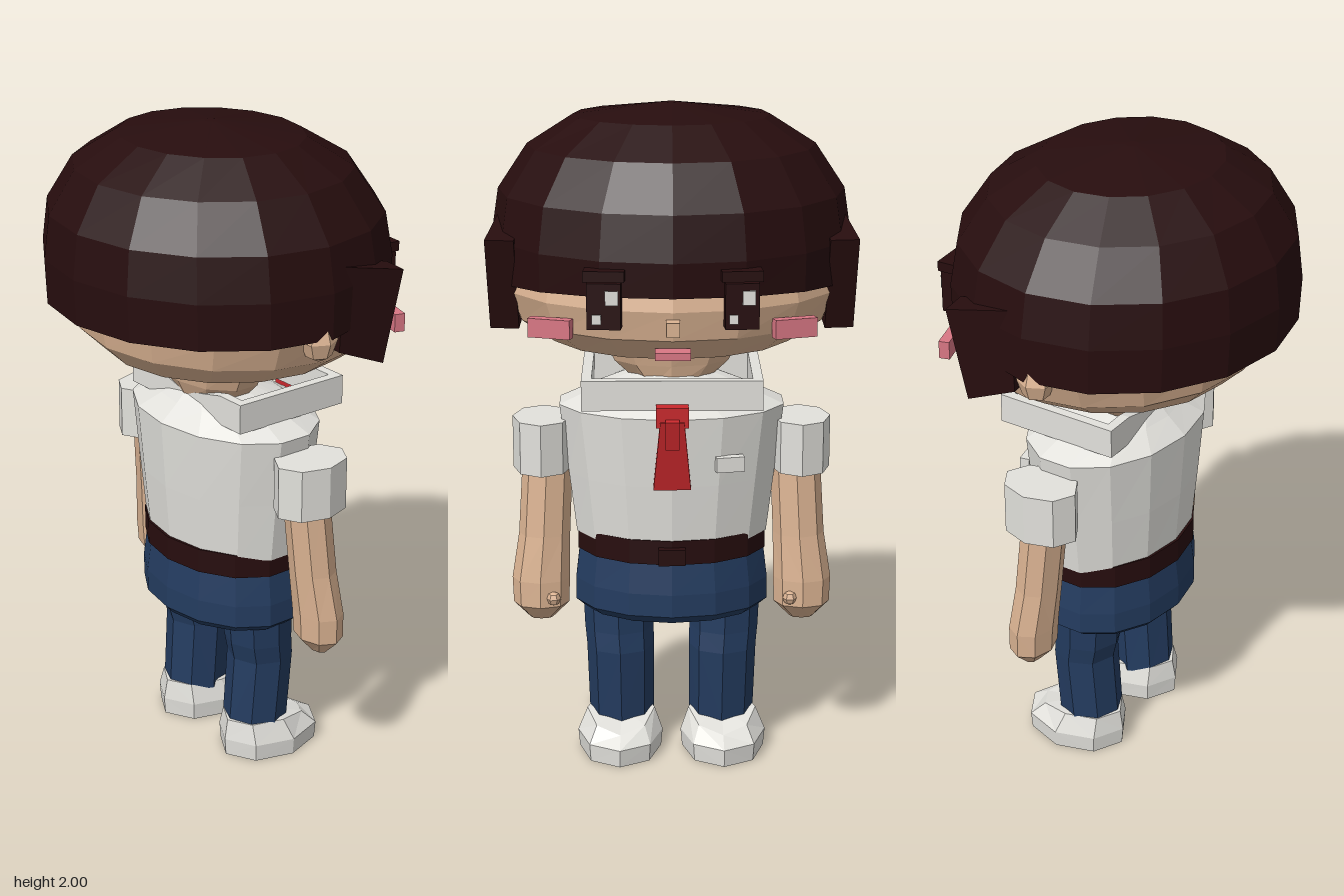
import * as THREE from 'three';

const colour = (name, hex) => {
  const m = new THREE.MeshStandardMaterial({ color: hex });
  m.name = name;
  return m;
};

// Faceted solid from elliptical rings [y, rx, rz, cx, cz], bottom to top, capped.
function loft(rings, n) {
  const pos = [], idx = [];
  for (const [y, rx, rz, cx = 0, cz = 0] of rings)
    for (let i = 0; i < n; i++) {
      const t = (i / n) * Math.PI * 2;
      pos.push(cx + rx * Math.sin(t), y, cz + rz * Math.cos(t));
    }
  const last = rings.length - 1, c = pos.length / 3;
  for (const [y, , , cx = 0, cz = 0] of [rings[0], rings[last]]) pos.push(cx, y, cz);
  for (let i = 0; i < n; i++) {
    const k = (i + 1) % n;
    for (let j = 0; j < last; j++) {
      const a = j * n + i, b = j * n + k;
      idx.push(a, b, b + n, a, b + n, a + n);
    }
    idx.push(c, k, i, c + 1, last * n + i, last * n + k);
  }
  const g = new THREE.BufferGeometry();
  g.setAttribute('position', new THREE.Float32BufferAttribute(pos, 3));
  g.setIndex(idx);
  return g;
}

// Box with optional turn about y and tilt about x.
function box(w, h, d, x, y, z, turn = 0, tilt = 0) {
  return new THREE.BoxGeometry(w, h, d).rotateX(tilt).rotateY(turn).translate(x, y, z);
}

function prism(points, depth) {
  const shape = new THREE.Shape(points.map(([x, y]) => new THREE.Vector2(x, y)));
  return new THREE.ExtrudeGeometry(shape, { depth, bevelEnabled: false });
}

// Unshared corners give every face its own flat normal.
function facet(g) {
  const f = g.index ? g.toNonIndexed() : g.clone();
  f.deleteAttribute('uv');
  f.computeVertexNormals();
  return f;
}

// Copy to the other side of x = 0, keeping faces outward.
function mirror(g) {
  const f = facet(g), p = f.attributes.position;
  for (let i = 0; i < p.count; i += 3) {
    const v = [0, 2, 1].map(k => [-p.getX(i + k), p.getY(i + k), p.getZ(i + k)]);
    v.forEach((q, k) => p.setXYZ(i + k, ...q));
  }
  return f;
}

export function createModel() {
  const skin = colour('skin', 0xdcb493), hairCol = colour('dark brown', 0x270d0e);
  const white = colour('white cloth', 0xe2e1dc), denim = colour('denim', 0x243c60);
  const red = colour('red', 0xc8282c), pink = colour('pink', 0xd97784);

  const model = new THREE.Group();
  model.name = 'figure';
  const add = (name, g, mat) => {
    const m = new THREE.Mesh(facet(g), mat);
    m.name = name;
    model.add(m);
  };
  const pair = (name, g, mat) => {
    add('left' + name, g, mat);
    add('right' + name, mirror(g), mat);
  };

  // Head and neck (the face looks towards -z)
  add('head', loft([
    [1.295, 0.2, 0.2, 0, -0.02], [1.325, 0.37, 0.36, 0, -0.02], [1.395, 0.47, 0.435, 0, -0.024],
    [1.48, 0.505, 0.452, 0, -0.024], [1.6, 0.48, 0.43, 0, -0.02]], 16), skin);
  add('neck', loft([
    [1.16, 0.1, 0.1, 0, 0.02], [1.23, 0.18, 0.125, 0, 0.03], [1.33, 0.23, 0.15, 0, 0.03]], 10), skin);

  // Bowl of hair, its rim a little higher at the face
  const hair = loft([
    [1.485, 0.53, 0.497, 0, 0.013], [1.62, 0.532, 0.502, 0, 0.014], [1.75, 0.512, 0.482, 0, 0.018],
    [1.88, 0.425, 0.4, 0, 0.025], [1.965, 0.29, 0.26, 0, 0.028], [2.0, 0.02, 0.02, 0, 0.03]], 16);
  const hp = hair.attributes.position;
  for (let i = 0; i < 16; i++) hp.setY(i, hp.getY(i) + Math.max(0, -hp.getZ(i)) * 0.075);
  add('hair', hair, hairCol);

  // Side locks and ears
  const lock = prism([[0.04, 1.43], [0.19, 1.37], [0.25, 1.64], [0.05, 1.68]], 0.085)
    .rotateY(Math.PI / 2 - 0.13).translate(0.42, 0, 0);
  pair('SideLock', lock, hairCol);
  pair('Ear', new THREE.SphereGeometry(0.07, 6, 4).scale(0.7, 0.9, 0.8).translate(0.49, 1.475, 0.03), skin);

  // Face
  pair('Eye', box(0.095, 0.13, 0.055, 0.19, 1.5, -0.458, -0.08), hairCol);
  pair('Brow', box(0.115, 0.03, 0.055, 0.19, 1.585, -0.462, -0.08), hairCol);
  for (const [side, x] of [['left', 0.19], ['right', -0.19]]) {
    add(side + 'EyeGlint', box(0.036, 0.04, 0.009, x - 0.02, 1.525, -0.488), white);
    add(side + 'SmallGlint', box(0.025, 0.026, 0.009, x + 0.022, 1.465, -0.488), white);
  }
  pair('Cheek', box(0.125, 0.055, 0.032, 0.345, 1.415, -0.372, -0.3), pink);
  add('nose', box(0.038, 0.04, 0.06, 0, 1.44, -0.485), skin);
  add('mouth', box(0.1, 0.022, 0.06, 0, 1.357, -0.455), pink);

  // Shirt
  add('shirt', loft([
    [0.71, 0.295, 0.21, 0, -0.02], [0.9, 0.318, 0.225, 0, -0.02], [1.11, 0.345, 0.238, 0, -0.02],
    [1.16, 0.23, 0.17, 0, -0.01], [1.2, 0.11, 0.1, 0, 0.02]], 14), white);
  add('collarFront', box(0.53, 0.09, 0.03, 0, 1.185, -0.245), white);
  pair('CollarSide', box(0.03, 0.09, 0.39, 0.25, 1.185, -0.065), white);
  add('collarBack', prism([
    [-0.265, 1.14], [0.265, 1.14], [0.265, 1.23], [0.17, 1.23], [0.03, 1.197],
    [-0.03, 1.197], [-0.17, 1.23], [-0.265, 1.23]], 0.03).translate(0, 0, 0.1), white);
  add('pocket', box(0.085, 0.045, 0.03, -0.17, 0.97, -0.228, 0.2), white);

  // Tie
  add('tieKnot', box(0.095, 0.06, 0.045, 0, 1.13, -0.28), red);
  const blade = prism([[-0.035, 0.22], [-0.055, 0], [0.055, 0], [0.035, 0.22]], 0.03);
  add('tieBlade', blade.rotateX(-0.2).translate(0, 0.9, -0.265), red);
  add('tieFold', box(0.04, 0.09, 0.02, 0, 1.08, -0.305, 0, -0.2), red);

  // Sleeves, arms and thumbs
  pair('Sleeve', loft([
    [0.905, 0.09, 0.12, 0.39, -0.033], [1.065, 0.09, 0.12, 0.39, -0.033]], 8), white);
  pair('Arm', loft([
    [0.43, 0.035, 0.02, 0.4, -0.065], [0.48, 0.085, 0.066, 0.4, -0.067], [0.56, 0.088, 0.068, 0.4, -0.064],
    [0.7, 0.078, 0.066, 0.388, -0.05], [0.95, 0.076, 0.066, 0.375, -0.03]], 8), skin);
  pair('Thumb', new THREE.SphereGeometry(0.022, 6, 4).translate(0.36, 0.51, -0.125), skin);

  // Belt and trousers
  add('belt', loft([[0.655, 0.292, 0.218, 0, -0.018], [0.73, 0.292, 0.218, 0, -0.018]], 14), hairCol);
  add('buckle', box(0.08, 0.05, 0.025, 0, 0.685, -0.243), hairCol);
  add('hips', loft([
    [0.465, 0.27, 0.2, 0, -0.018], [0.49, 0.3, 0.222, 0, -0.018], [0.56, 0.3, 0.222, 0, -0.018],
    [0.657, 0.288, 0.21, 0, -0.018]], 14), denim);
  pair('Leg', loft([
    [0.1, 0.1, 0.1, 0.155, -0.02], [0.33, 0.104, 0.1, 0.158, -0.036],
    [0.39, 0.106, 0.104, 0.162, -0.025], [0.48, 0.108, 0.107, 0.164, -0.02]], 8), denim);

  // Shoes, with the top sloping down to the toe
  const shoe = loft([
    [0, 0.127, 0.168, 0.16, -0.07], [0.055, 0.132, 0.172, 0.16, -0.07], [0.12, 0.105, 0.14, 0.158, -0.05]], 8);
  const sp = shoe.attributes.position;
  for (let i = 0; i < sp.count; i++)
    if (sp.getY(i) > 0.1) sp.setY(i, 0.12 - Math.max(0, -sp.getZ(i) - 0.1) * 0.4);
  pair('Shoe', shoe, white);

  return model;
}
